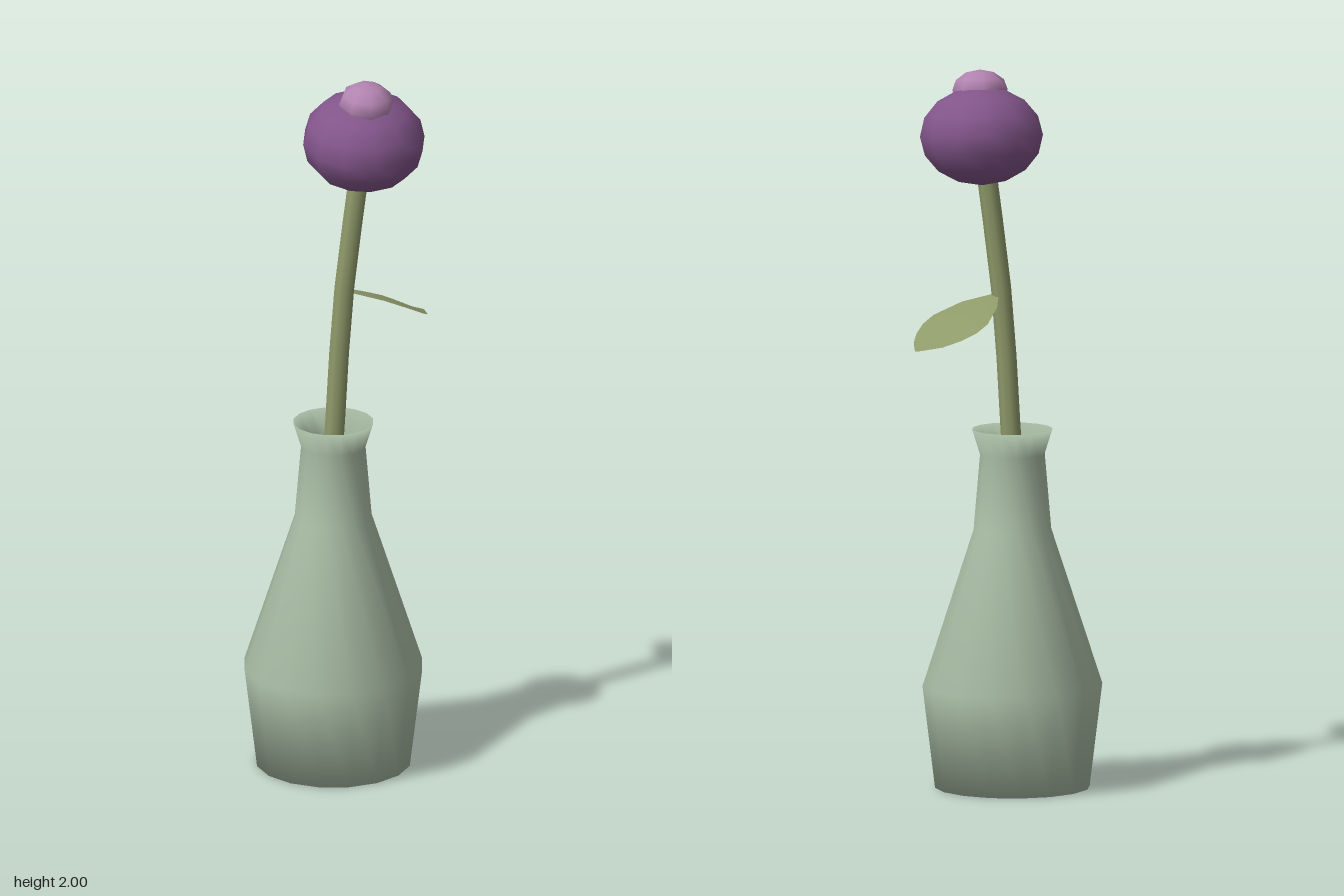
import * as THREE from 'three';

const mat = (name, color, side = THREE.FrontSide) => {
  const m = new THREE.MeshStandardMaterial({ color, side });
  m.name = name;
  return m;
};

export function createModel() {
  const group = new THREE.Group();
  const sage = mat('sage ceramic', 0xa9bda5);
  const green = mat('stem green', 0x8f9a6a, THREE.DoubleSide);
  const purple = mat('petal purple', 0x82558a);
  const pink = mat('centre pink', 0xb283b0);
  const add = (name, geo, material) => {
    const mesh = new THREE.Mesh(geo, material);
    mesh.name = name;
    group.add(mesh);
    return mesh;
  };

  // Vase: base, shoulder, neck, flared rim, then the inner wall
  const profile = [
    [0, 0], [0.215, 0], [0.25, 0.285], [0.108, 0.72], [0.09, 0.93], [0.112, 1],
    [0.08, 0.93], [0.09, 0.72], [0, 0.6],
  ].map(([r, y]) => new THREE.Vector2(r, y));
  add('vase', new THREE.LatheGeometry(profile, 16), sage).position.x = -0.02;

  // Stem: bends gently towards +x
  const path = new THREE.CatmullRomCurve3([
    [-0.04, 0.62], [-0.015, 1], [0.008, 1.36], [0.06, 1.78],
  ].map(([x, y]) => new THREE.Vector3(x, y, 0)));
  add('stem', new THREE.TubeGeometry(path, 6, 0.028, 8), green);

  // Leaf: rows of [distance, half width, height], midrib a little raised
  const rows = [
    [0, 0.012, 0], [0.06, 0.073, -0.015], [0.13, 0.113, -0.045], [0.17, 0.112, -0.066],
    [0.21, 0.093, -0.088], [0.25, 0.06, -0.11], [0.295, 0.004, -0.13],
  ];
  const pos = [], idx = [];
  rows.forEach(([s, w, y], i) => {
    for (const k of [-1, 0, 1]) {
      pos.push(s * 0.82 + k * w * 0.57, y - Math.abs(k) * w * 0.12, -s * 0.57 + k * w * 0.82);
    }
    if (i === 0) return;
    for (let k = 0; k < 2; k++) {
      const a = (i - 1) * 3 + k, b = a + 3;
      idx.push(a, a + 1, b, a + 1, b + 1, b);
    }
  });
  const leafGeo = new THREE.BufferGeometry();
  leafGeo.setAttribute('position', new THREE.Float32BufferAttribute(pos, 3));
  leafGeo.setIndex(idx);
  leafGeo.computeVertexNormals();
  add('leaf', leafGeo, green).position.set(0.026, 1.378, 0);

  // Flower head and its small centre, both tipped forward
  const head = add('flowerHead', new THREE.SphereGeometry(1, 12, 8), purple);
  head.scale.set(0.171, 0.137, 0.171);
  head.position.set(0.066, 1.821, 0);
  head.rotation.x = 0.14;
  const centre = add('flowerCentre', new THREE.SphereGeometry(1, 8, 6), pink);
  centre.scale.set(0.077, 0.056, 0.08);
  centre.position.set(0.066, 1.944, 0.034);
  centre.rotation.x = 0.14;

  return group;
}
